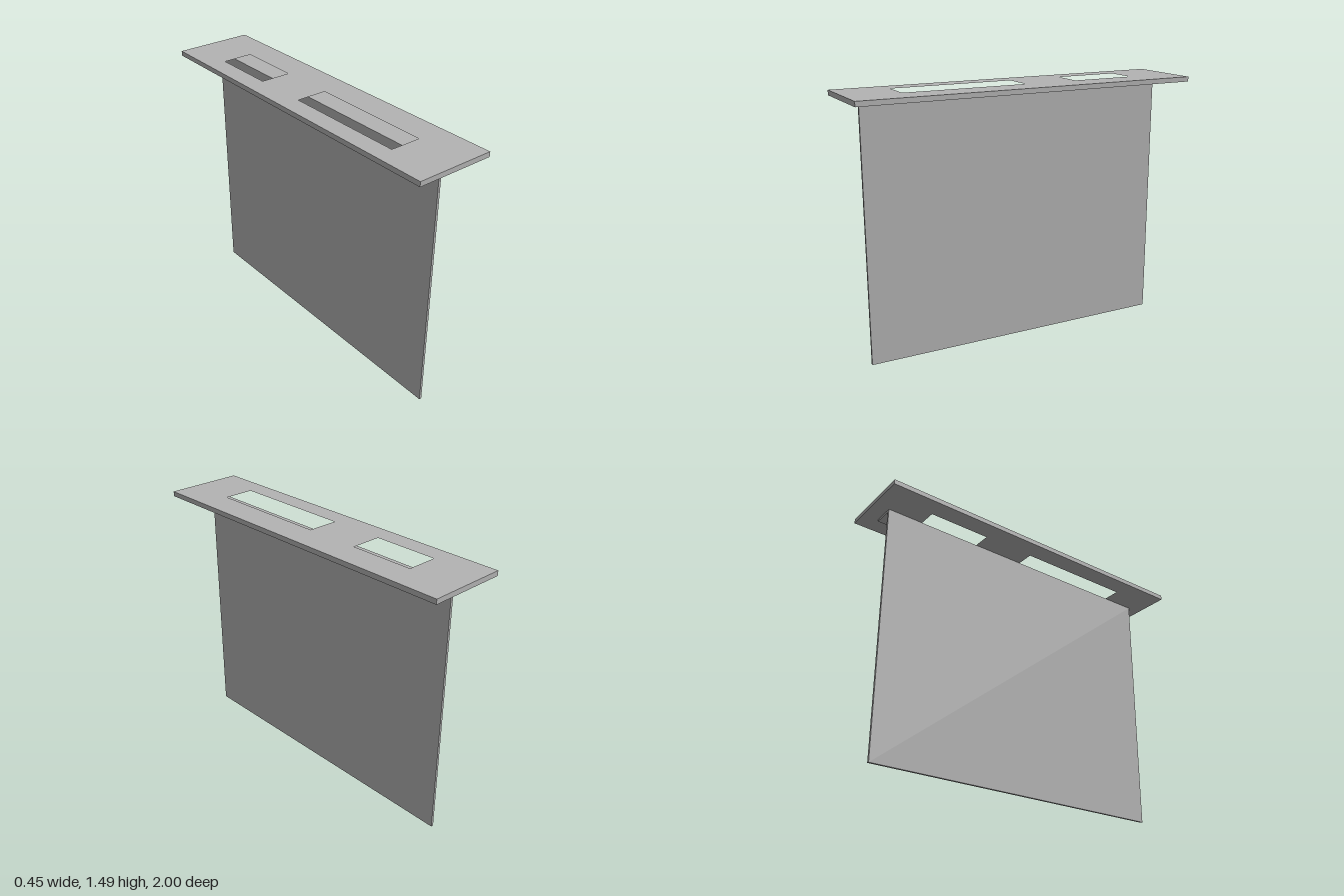
import * as THREE from 'three';

export function createModel() {
  const model = new THREE.Group();
  const grey = new THREE.MeshStandardMaterial({ color: 0xb3b3b3 });
  grey.name = 'plain grey';

  const plateBottom = 1.457, plateTop = 1.485;

  function add(name, geometry) {
    const mesh = new THREE.Mesh(geometry, grey);
    mesh.name = name;
    model.add(mesh);
    return mesh;
  }

  // Rectangle outline, drawn in x and -z so that it lies flat once rotated
  function rectangle(PathType, x0, x1, z0, z1) {
    const path = new PathType();
    path.moveTo(x0, -z0);
    path.lineTo(x1, -z0);
    path.lineTo(x1, -z1);
    path.lineTo(x0, -z1);
    path.closePath();
    return path;
  }

  // Top plate with a short and a long slot
  const outline = rectangle(THREE.Shape, -0.225, 0.225, -1, 1);
  for (const [z0, z1] of [[-0.7, -0.33], [-0.01, 0.7]]) {
    outline.holes.push(rectangle(THREE.Path, -0.115, 0.06, z0, z1));
  }
  const plate = new THREE.ExtrudeGeometry(outline, { depth: plateTop - plateBottom, bevelEnabled: false });
  plate.rotateX(-Math.PI / 2);
  plate.translate(0, plateBottom, 0);
  add('topPlate', plate);

  // Hanging sheet, folded over at the top into a narrow flange: one L profile
  const profile = new THREE.Shape([
    [-0.01, 0], [0.004, 0], [0.004, 1.444], [0.112, 1.444],
    [0.112, plateBottom], [-0.01, plateBottom],
  ].map(([x, y]) => new THREE.Vector2(x, y)));
  const sheet = new THREE.ExtrudeGeometry(profile, { depth: 1.824, bevelEnabled: false });
  sheet.translate(0, 0, -0.912);
  add('foldedSheet', sheet);

  return model;
}
